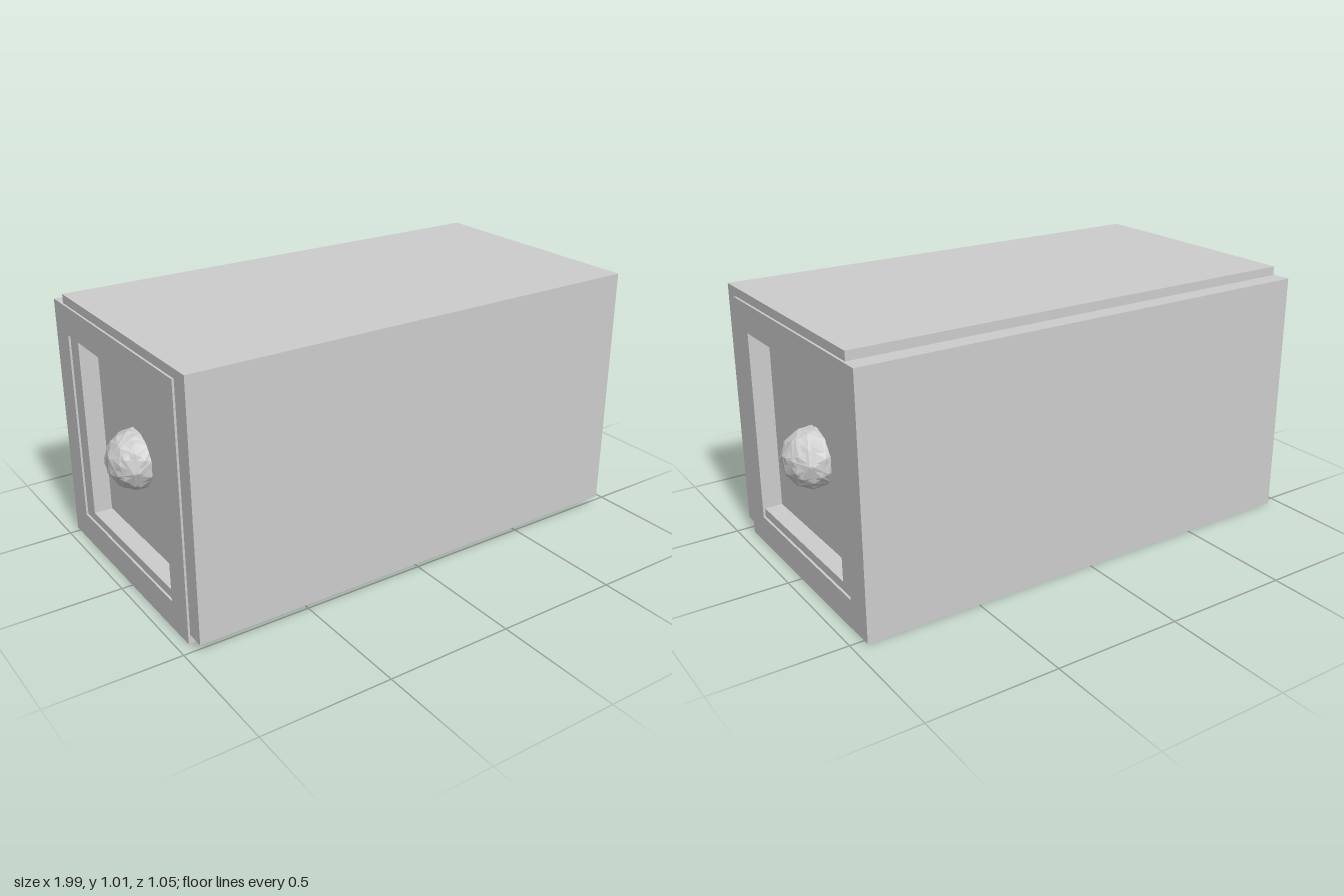
import * as THREE from 'three';

// Rectangle centred on (0, 0), used for frame outlines and openings
function square(Type, size) {
  const h = size / 2;
  const path = new Type();
  path.moveTo(-h, -h);
  path.lineTo(h, -h);
  path.lineTo(h, h);
  path.lineTo(-h, h);
  path.closePath();
  return path;
}

export function createModel() {
  const model = new THREE.Group();
  const grey = new THREE.MeshStandardMaterial({ color: 0xcccccc, flatShading: true });
  grey.name = 'light grey';

  const SIZE = 0.979;    // height and depth of a block
  const OPENING = 0.753; // recess in each end
  const RECESS = 0.08;

  // One long block with a square recess in both ends
  function block(name, x0, x1, y, z) {
    const group = new THREE.Group();
    group.name = name;
    const core = new THREE.Mesh(
      new THREE.BoxGeometry(x1 - x0 - 2 * RECESS, SIZE, SIZE), grey);
    core.name = 'blockCore';
    core.position.x = (x0 + x1) / 2;
    group.add(core);

    const outline = square(THREE.Shape, SIZE);
    outline.holes.push(square(THREE.Path, OPENING));
    const frameGeo = new THREE.ExtrudeGeometry(outline, { depth: RECESS, bevelEnabled: false });
    frameGeo.rotateY(Math.PI / 2);
    for (const [side, x] of [['right', x0], ['left', x1 - RECESS]]) {
      const frame = new THREE.Mesh(frameGeo, grey);
      frame.name = side + 'EndFrame';
      frame.position.x = x;
      group.add(frame);
    }
    group.position.set(0, y, z);
    model.add(group);
  }

  // Two overlapping blocks, shifted against each other
  block('rearBlock', -0.957, 0.945, SIZE / 2, -0.036);
  block('frontBlock', -0.949, 0.936, 0.035 + SIZE / 2, 0.036);

  // Faceted knobs in the recesses, each made of two interlocked balls
  for (const s of [-1, 1]) {
    const knob = new THREE.Group();
    knob.name = s > 0 ? 'leftKnob' : 'rightKnob';
    for (const turn of [0.3, 1.1]) {
      const ball = new THREE.Mesh(new THREE.IcosahedronGeometry(0.116, 1), grey);
      ball.name = 'knobBall';
      ball.rotation.set(turn, turn * 0.7, 0.2);
      knob.add(ball);
    }
    knob.position.set(s * 0.885, 0.492, -0.036);
    model.add(knob);
  }
  return model;
}
